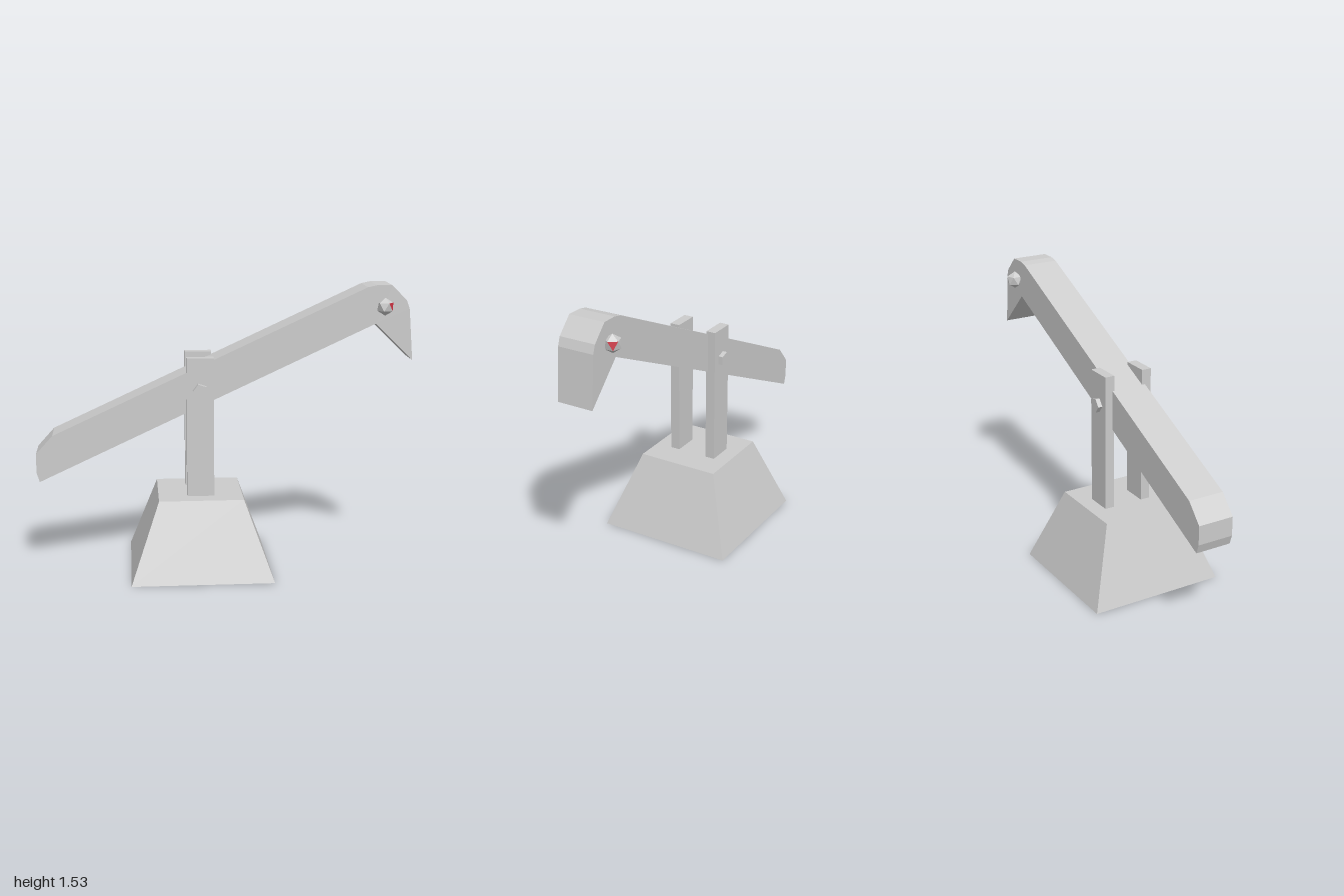
import * as THREE from 'three';

const grey = new THREE.MeshStandardMaterial({ color: 0xcccccc, flatShading: true });
const red = new THREE.MeshStandardMaterial({ color: 0xc83040, flatShading: true });
const PIVOT_X = -0.131;

function add(parent, name, geometry, material = grey) {
  const mesh = new THREE.Mesh(geometry, material);
  mesh.name = name;
  parent.add(mesh);
  return mesh;
}

// Box whose top is narrowed into a truncated pyramid
function frustum(bottomW, bottomD, topW, topD, h) {
  const g = new THREE.BoxGeometry(bottomW, h, bottomD).toNonIndexed();
  const p = g.attributes.position;
  for (let i = 0; i < p.count; i++) {
    if (p.getY(i) > 0) {
      p.setX(i, Math.sign(p.getX(i)) * topW / 2);
      p.setZ(i, Math.sign(p.getZ(i)) * topD / 2);
    }
  }
  g.computeVertexNormals();
  return g.translate(0, h / 2, 0);
}

// Upright icosahedron with one side face coloured as the pupil
function eye(name, r, pupilIndex) {
  const ring = (y, offset) => Array.from({ length: 5 }, (_, k) => {
    const a = (k + offset) * Math.PI * 2 / 5;
    return [Math.cos(a) * r * 0.894, y * r, Math.sin(a) * r * 0.894];
  });
  const U = ring(0.447, 0), L = ring(-0.447, 0.5);
  const T = [0, r, 0], B = [0, -r, 0];
  const ball = [], pupil = [];
  for (let k = 0; k < 5; k++) {
    const n = (k + 1) % 5;
    ball.push(U[k], T, U[n], L[k], U[n], L[n], L[k], L[n], B);
    (k === pupilIndex ? pupil : ball).push(U[k], U[n], L[k]);
  }
  const group = new THREE.Group();
  group.name = name;
  const toGeometry = (points) => {
    const g = new THREE.BufferGeometry();
    g.setAttribute('position', new THREE.Float32BufferAttribute(points.flat(), 3));
    g.computeVertexNormals();
    return g;
  };
  add(group, name + 'Ball', toGeometry(ball));
  add(group, name + 'Pupil', toGeometry(pupil), red);
  return group;
}

export function createModel() {
  const model = new THREE.Group();
  model.name = 'rockingBeam';

  // Sloped base
  add(model, 'base', frustum(0.753, 0.75, 0.45, 0.45, 0.415)).position.x = PIVOT_X;

  // Two posts holding the beam
  for (const [name, z] of [['frontPost', 0.107], ['backPost', -0.115]]) {
    add(model, name, new THREE.BoxGeometry(0.144, 0.76, 0.053)).position.set(-0.13, 0.78, z);
  }

  // Five-sided pivot pin through both posts
  const pin = new THREE.CylinderGeometry(0.0395, 0.0395, 0.332, 5);
  pin.rotateX(Math.PI / 2).rotateZ(-Math.PI / 2);
  add(model, 'pivotPin', pin).position.set(PIVOT_X, 0.99, 0);

  // Tilted beam with hooked head, extruded from its side outline
  const outline = [
    [-1, 0.653], [-1, 0.55], [-0.984, 0.5], [0.8, 1.328], [1, 1.13],
    [0.978, 1.403], [0.962, 1.448], [0.882, 1.53], [0.8, 1.53], [0.753, 1.52], [-0.912, 0.75],
  ].map(([x, y]) => new THREE.Vector2(x, y));
  const beam = new THREE.ExtrudeGeometry(new THREE.Shape(outline), { depth: 0.197, bevelEnabled: false });
  add(model, 'beam', beam).position.z = -0.099;

  // Eyes on both sides of the head
  const frontEye = eye('frontEye', 0.048, 0);
  frontEye.position.set(0.847, 1.417, 0.096);
  const backEye = eye('backEye', 0.048, 4);
  backEye.position.set(0.847, 1.417, -0.116);
  model.add(frontEye, backEye);

  return model;
}
